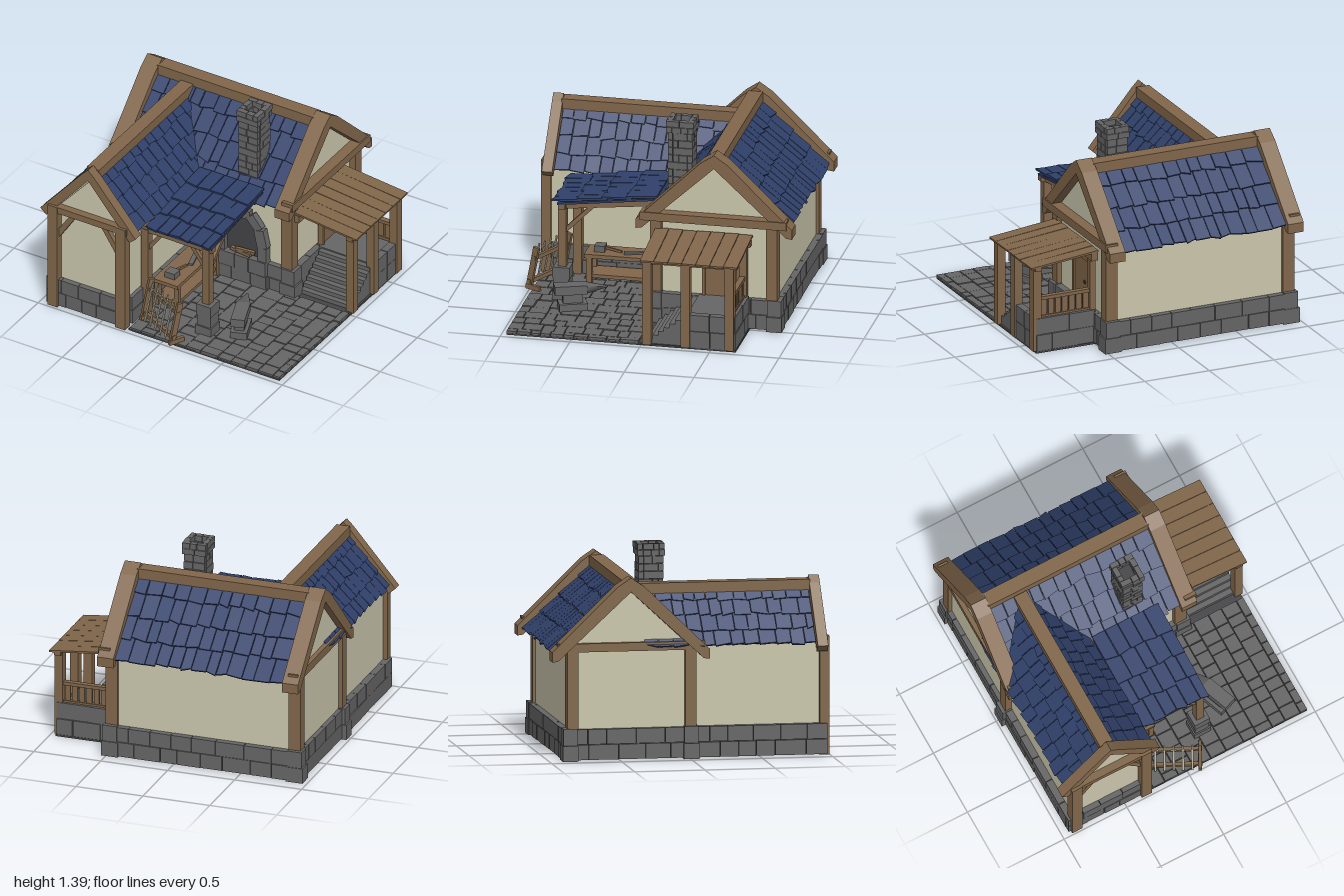
import * as THREE from 'three';
import { mergeGeometries } from 'three/addons/utils/BufferGeometryUtils.js';

const mat = (name, color) => Object.assign(new THREE.MeshStandardMaterial({ color }), { name });
const V = (x, y, z) => new THREE.Vector3(x, y, z);

export function createModel() {
  const wood = mat('wood', 0x80664a), plaster = mat('plaster', 0xcac6ac), stone = mat('stone', 0x656565);
  const slate = mat('blue shingle', 0x30406a), dark = mat('dark mortar', 0x444446), steel = mat('pale steel', 0xb9b29c);
  const root = new THREE.Group();
  let seed = 7;
  const rnd = () => (seed = (seed * 16807) % 2147483647) / 2147483647;
  const jit = (a) => (rnd() - 0.5) * 2 * a;

  const add = (name, material, geos, parent = root) => {
    const m = new THREE.Mesh(mergeGeometries(geos.map((g) => (g.index ? g.toNonIndexed() : g))), material);
    m.name = name;
    parent.add(m);
    return m;
  };
  // box given by its limits
  const box = (x0, x1, y0, y1, z0, z1) =>
    new THREE.BoxGeometry(x1 - x0, y1 - y0, z1 - z0).translate((x0 + x1) / 2, (y0 + y1) / 2, (z0 + z1) / 2);
  // square timber between two points
  const beam = (a, b, w, h = w) => {
    const up = Math.abs(b.y - a.y) > 0.99 * a.distanceTo(b) ? V(1, 0, 0) : V(0, 1, 0);
    const m = new THREE.Matrix4().lookAt(b, a, up).setPosition(a.clone().add(b).multiplyScalar(0.5));
    return new THREE.BoxGeometry(w, h, a.distanceTo(b)).applyMatrix4(m);
  };
  const extrude = (pts, depth) =>
    new THREE.ExtrudeGeometry(new THREE.Shape(pts.map((p) => new THREE.Vector2(...p))), { depth, bevelEnabled: false });

  // courses of uneven blocks along a line
  const courses = (x0, z0, x1, z1, y0, y1, rows, len, thick) => {
    const out = [], total = Math.hypot(x1 - x0, z1 - z0), h = (y1 - y0) / rows;
    const at = (t, y) => V(x0 + ((x1 - x0) * t) / total, y, z0 + ((z1 - z0) * t) / total);
    for (let r = 0; r < rows; r++) {
      for (let t = 0; t < total - 0.001;) {
        let l = len * (0.7 + 0.6 * rnd());
        if (total - t - l < len * 0.5) l = total - t;
        const y = y0 + h * (r + 0.5);
        out.push(beam(at(t + 0.002, y), at(t + l - 0.002, y), thick + jit(thick * 0.12), h - 0.004));
        t += l;
      }
    }
    return out;
  };

  // ---- plaster walls: prisms with gable tops
  const mainWall = extrude([[-0.43, 0.015], [0.43, 0.015], [0.43, 0.8], [0, 1.2], [-0.43, 0.8]], 1.38)
    .rotateY(Math.PI / 2).translate(-0.92, 0, -0.43);
  const wingWall = extrude([[-0.29, 0.015], [0.29, 0.015], [0.29, 0.8], [0, 1.13], [-0.29, 0.8]], 1.13)
    .translate(-0.61, 0, -0.2);
  add('mainWalls', plaster, [mainWall]);
  add('wingWalls', plaster, [wingWall]);

  // ---- stone footing around the walls
  const foot = [
    [-0.3, 0.01, 0.5, 0.01], [0.475, 0.02, 0.475, -0.9], [0.5, -0.875, -0.95, -0.875], [-0.92, -0.9, -0.92, 0.93],
    [-0.95, 0.935, -0.31, 0.935], [-0.32, 0.9, -0.32, 0.02],
  ];
  add('stoneFooting', stone, foot.flatMap((f) => courses(...f, 0.015, 0.235, 2, 0.17, 0.065)));
  const quoins = [];
  for (const [x, z] of [[0.47, 0.0], [0.47, -0.86], [-0.91, -0.86], [-0.92, 0.0]])
    quoins.push(box(x - 0.065, x + 0.06, 0.01, 0.12, z - 0.055, z + 0.055), box(x - 0.055, x + 0.05, 0.122, 0.24, z - 0.05, z + 0.05));
  add('cornerStones', stone, quoins);

  // ---- corner posts and wall beams
  const posts = [];
  for (const [x, z] of [[0.45, -0.005], [0.465, -0.84], [-0.905, -0.84], [-0.905, 0.0]])
    posts.push(box(x - 0.045, x + 0.045, 0.2, 0.8, z - 0.04, z + 0.04));
  for (const x of [-0.89, -0.335]) posts.push(box(x - 0.04, x + 0.04, 0.01, 0.85, 0.92, 0.99));
  add('wallPosts', wood, posts);
  add('tieBeams', wood, [
    box(0.45, 0.54, 0.78, 0.84, -0.95, 0.1), box(-0.955, -0.88, 0.78, 0.84, -0.95, 0.1), box(-0.93, -0.29, 0.8, 0.85, 0.91, 0.985),
  ]);
  add('wingBraces', wood, [1, -1].map((s) =>
    beam(V(-0.61 + s * 0.25, 0.61, 0.95), V(-0.61 + s * 0.12, 0.81, 0.95), 0.035, 0.04)));

  // ---- gable frames and ridge beams
  const chevron = (half) => [...half, ...half.slice(1, -1).reverse().map(([x, y]) => [-x, y])];
  const mainFrame = chevron([[0, 1.3], [0.095, 1.236], [0.56, 0.785], [0.56, 0.715], [0.52, 0.72], [0, 1.2]]);
  for (const [name, x] of [['leftGableFrame', -0.97], ['rightGableFrame', 0.41]])
    add(name, wood, [extrude(mainFrame, 0.12).rotateY(Math.PI / 2).translate(x, 0, -0.43)]);
  const wingFrame = chevron([[0, 1.24], [0.05, 1.19], [0.39, 0.79], [0.34, 0.745], [0, 1.15]]);
  add('wingGableFrame', wood, [extrude(wingFrame, 0.075).translate(-0.61, 0, 0.895)]);
  add('ridgeBeams', wood, [box(-0.86, 0.42, 1.19, 1.272, -0.48, -0.375), box(-0.66, -0.56, 1.12, 1.215, -0.37, 0.9)]);

  // ---- shingled roof slopes: local x along the eave, local z down the slope
  const shingles = (name, width, length, rows, [x, y, z], pitch, turn) => {
    const geos = [box(-width / 2, width / 2, -0.03, -0.015, 0, length - 0.02)];
    const rl = length / rows;
    for (let r = rows - 1; r >= 0; r--) {
      for (let u = -width / 2; u < width / 2 - 0.01;) {
        let w = 0.1 * (0.75 + 0.5 * rnd());
        if (width / 2 - u - w < 0.05) w = width / 2 - u;
        const g = new THREE.BoxGeometry(w - 0.005, 0.014, rl * 1.15, 1, 1, 1), p = g.attributes.position;
        const skewA = jit(0.015), skewB = jit(0.015);
        for (let i = 0; i < p.count; i++) if (p.getZ(i) > 0) {
          p.setZ(i, p.getZ(i) + (p.getX(i) > 0 ? skewA : skewB));
          p.setX(i, p.getX(i) * (p.getX(i) > 0 ? 1 + skewB * 2 : 1 + skewA * 2));
        }
        g.computeVertexNormals();
        geos.push(g.rotateX(-0.07 + jit(0.015)).rotateZ(jit(0.02)).translate(u + w / 2, 0, rl * (r + 0.45)));
        u += w;
      }
    }
    const m = add(name, slate, geos);
    m.position.set(x, y, z);
    m.rotation.set(pitch, turn, 0, 'YXZ');
  };
  const mp = Math.atan(0.91), wp = Math.atan(1.1);
  shingles('mainRoofFront', 1.28, 0.71, 4, [-0.22, 1.235, -0.43], mp, 0);
  shingles('mainRoofBack', 1.28, 0.7, 4, [-0.22, 1.235, -0.43], mp, Math.PI);
  shingles('wingRoofRight', 1.22, 0.53, 4, [-0.61, 1.185, 0.28], wp, Math.PI / 2);
  shingles('wingRoofLeft', 1.22, 0.51, 4, [-0.61, 1.185, 0.28], wp, -Math.PI / 2);
  shingles('awningRoof', 0.53, 0.72, 4, [0.005, 0.855, 0.06], Math.atan(0.125), 0);

  // ---- awning frame
  add('awningFrame', wood, [
    box(0.19, 0.25, 0.2, 0.73, 0.69, 0.75), box(-0.31, -0.25, 0.01, 0.73, 0.69, 0.75),
    beam(V(-0.32, 0.73, 0.72), V(0.27, 0.73, 0.72), 0.05, 0.045),
    beam(V(0.22, 0.725, 0.73), V(0.22, 0.805, 0), 0.045), beam(V(-0.28, 0.725, 0.73), V(-0.28, 0.805, 0), 0.045),
    beam(V(0.2, 0.57, 0.72), V(0.09, 0.72, 0.72), 0.03), beam(V(-0.26, 0.57, 0.72), V(-0.15, 0.72, 0.72), 0.03),
    beam(V(0.22, 0.54, 0.7), V(0.22, 0.74, 0.5), 0.03),
  ]);
  add('awningPlinth', stone, [box(0.155, 0.285, 0.01, 0.1, 0.66, 0.785), box(0.165, 0.275, 0.1, 0.19, 0.665, 0.775), box(0.16, 0.28, 0.19, 0.275, 0.66, 0.78)]);

  // ---- chimney with open top
  const ring = (x0, x1, z0, z1, y0, y1, rows, t) => [
    [x0, z0 + t / 2, x1, z0 + t / 2], [x0, z1 - t / 2, x1, z1 - t / 2],
    [x0 + t / 2, z0 + t, x0 + t / 2, z1 - t], [x1 - t / 2, z0 + t, x1 - t / 2, z1 - t],
  ].flatMap((s) => courses(...s, y0, y1, rows, 0.07, t));
  add('chimney', stone, [
    ...ring(0.02, 0.178, -0.198, -0.022, 0.82, 1.31, 9, 0.035), ...ring(0.01, 0.188, -0.208, -0.012, 1.31, 1.4, 2, 0.04),
  ]);
  add('chimneyCore', dark, [box(0.04, 0.16, 0.82, 1.31, -0.18, -0.04)]);

  // ---- forge hearth: arch of stones against the wall
  const arch = [];
  const archPts = [[-0.075, 0.22], [-0.075, 0.38], [-0.06, 0.5], [0.02, 0.595], [0.16, 0.595], [0.235, 0.5], [0.265, 0.36], [0.265, 0.22]];
  for (let i = 0; i < archPts.length - 1; i++)
    arch.push(beam(V(...archPts[i], 0.035), V(...archPts[i + 1], 0.035), 0.05 + jit(0.006), 0.075 + jit(0.012)));
  add('hearthArch', stone, [...arch, box(0.055, 0.11, 0.6, 0.7, 0.0, 0.035), ...courses(-0.1, 0.03, 0.3, 0.03, 0.015, 0.25, 2, 0.14, 0.09)]);
  add('hearthBack', dark, [extrude(archPts, 0.01).translate(0, 0, 0.012)]);
  add('hearthLogs', wood, [beam(V(0, 0.27, 0.04), V(0.17, 0.27, 0.06), 0.025), beam(V(0.05, 0.29, 0.06), V(0.19, 0.28, 0.035), 0.025)]);

  // ---- paved yard
  const paving = [];
  for (let x = -0.27; x < 0.95;) {
    const w = Math.min(0.09 + 0.05 * rnd(), 0.96 - x);
    for (let z = 0.02; z < 0.96;) {
      let l = 0.06 + 0.09 * rnd();
      if (0.97 - z - l < 0.05) l = 0.97 - z;
      paving.push(box(x, x + w - 0.006, 0.01, 0.032 + jit(0.004), z, z + l - 0.006));
      z += l;
    }
    x += w;
  }
  add('pavingStones', stone, paving);
  add('yardBed', dark, [box(-0.28, 0.955, 0.004, 0.018, 0, 0.965), box(0.46, 0.955, 0.004, 0.018, -0.68, 0)]);

  // ---- side porch: steps, landing, posts, railing, roof
  const steps = [];
  for (let i = 0; i < 7; i++) steps.push(box(0.52, 0.94, 0.015, 0.05 + i * 0.031, -0.33, -0.04 - i * 0.04));
  add('porchSteps', stone, steps);
  add('porchLanding', stone, [box(0.5, 0.93, 0.015, 0.245, -0.66, -0.32),
    ...courses(0.93, -0.32, 0.93, -0.66, 0.015, 0.26, 2, 0.14, 0.05), ...courses(0.5, -0.65, 0.95, -0.65, 0.015, 0.26, 2, 0.16, 0.05)]);
  const porch = [-0.045, -0.32, -0.635].map((z) => box(0.908, 0.97, 0.015, 0.655, z - 0.032, z + 0.032));
  porch.push(box(0.49, 0.53, 0.24, 0.62, -0.665, -0.61), box(0.915, 0.965, 0.62, 0.655, -0.69, 0), box(0.48, 0.53, 0.63, 0.69, -0.69, 0));
  add('porchPosts', wood, porch);
  const rail = [beam(V(0.5, 0.4, -0.635), V(0.93, 0.4, -0.635), 0.04, 0.025), beam(V(0.5, 0.262, -0.635), V(0.93, 0.262, -0.635), 0.035, 0.02)];
  for (let i = 0; i < 7; i++) rail.push(box(0.535 + i * 0.054, 0.575 + i * 0.054, 0.25, 0.39, -0.645, -0.625));
  add('porchRailing', wood, rail);
  const planks = [];
  for (let i = 0; i < 7; i++) {
    const z = -0.65 + i * 0.1;
    planks.push(beam(V(0.48, 0.702 + jit(0.003), z), V(0.998, 0.647 + jit(0.003), z), 0.097, 0.014));
  }
  add('porchRoof', wood, planks);

  // ---- door with trim and handle
  add('door', wood, [box(0.48, 0.505, 0.245, 0.59, -0.59, -0.365)]);
  add('doorTrim', wood, [box(0.48, 0.52, 0.24, 0.63, -0.365, -0.345), box(0.48, 0.52, 0.24, 0.63, -0.61, -0.59), box(0.48, 0.52, 0.59, 0.625, -0.61, -0.345)]);
  add('doorHandle', dark, [new THREE.TorusGeometry(0.011, 0.004, 6, 12).rotateY(Math.PI / 2).translate(0.512, 0.42, -0.535)]);

  // ---- workbench and tools
  const bench = [box(-0.28, -0.08, 0.222, 0.25, 0.05, 0.635), box(-0.27, -0.09, 0.075, 0.1, 0.07, 0.61)];
  for (const x of [-0.26, -0.1]) for (const z of [0.08, 0.6]) bench.push(box(x - 0.018, x + 0.018, 0.03, 0.23, z - 0.02, z + 0.02));
  add('workbench', wood, bench);
  add('benchTools', stone, [box(-0.22, -0.14, 0.25, 0.295, 0.5, 0.575), beam(V(-0.2, 0.258, 0.14), V(-0.14, 0.258, 0.36), 0.035, 0.014)]);
  add('benchHandles', wood, [beam(V(-0.18, 0.275, 0.5), V(-0.16, 0.258, 0.38), 0.016)]);

  // ---- anvil, horn pointing to the back
  const anvil = add('anvil', stone, [
    box(-0.05, 0.05, 0.15, 0.215, -0.06, 0.17), box(-0.035, 0.035, 0.08, 0.15, -0.03, 0.11), box(-0.06, 0.06, 0.03, 0.085, -0.06, 0.14),
    new THREE.CylinderGeometry(0.07, 0.008, 0.16, 4).rotateY(Math.PI / 4).rotateX(Math.PI / 2).scale(1, 0.6, 1).translate(0, 0.185, -0.13),
  ]);
  anvil.position.set(0.41, 0, 0.57);
  anvil.rotation.y = 0.36;

  // ---- weapon rack
  const rack = new THREE.Group();
  rack.name = 'weaponRack';
  const frame = [], blades = [], hilts = [];
  for (const s of [-1, 1]) frame.push(beam(V(s * 0.185, 0.03, 0.04), V(s * 0.185, 0.35, -0.03), 0.022, 0.045), beam(V(s * 0.185, 0.045, -0.06), V(s * 0.185, 0.045, 0.06), 0.025, 0.035));
  for (const [y, z] of [[0.27, -0.015], [0.085, 0.03]]) frame.push(beam(V(-0.2, y, z), V(0.2, y, z), 0.025, 0.03));
  for (let i = 0; i < 5; i++) {
    const x = -0.13 + i * 0.065;
    blades.push(beam(V(x, 0.05, 0.06), V(x, 0.295, 0.005), 0.016, 0.006), beam(V(x - 0.022, 0.3, 0.003), V(x + 0.022, 0.3, 0.003), 0.009));
    hilts.push(beam(V(x, 0.3, 0.003), V(x, 0.36, -0.01), 0.011));
  }
  add('rackFrame', wood, frame, rack);
  add('swordBlades', steel, blades, rack);
  add('swordGrips', steel, hilts, rack);
  rack.position.set(-0.06, 0, 0.875);
  rack.rotation.y = -0.46;
  root.add(rack);

  return root;
}
